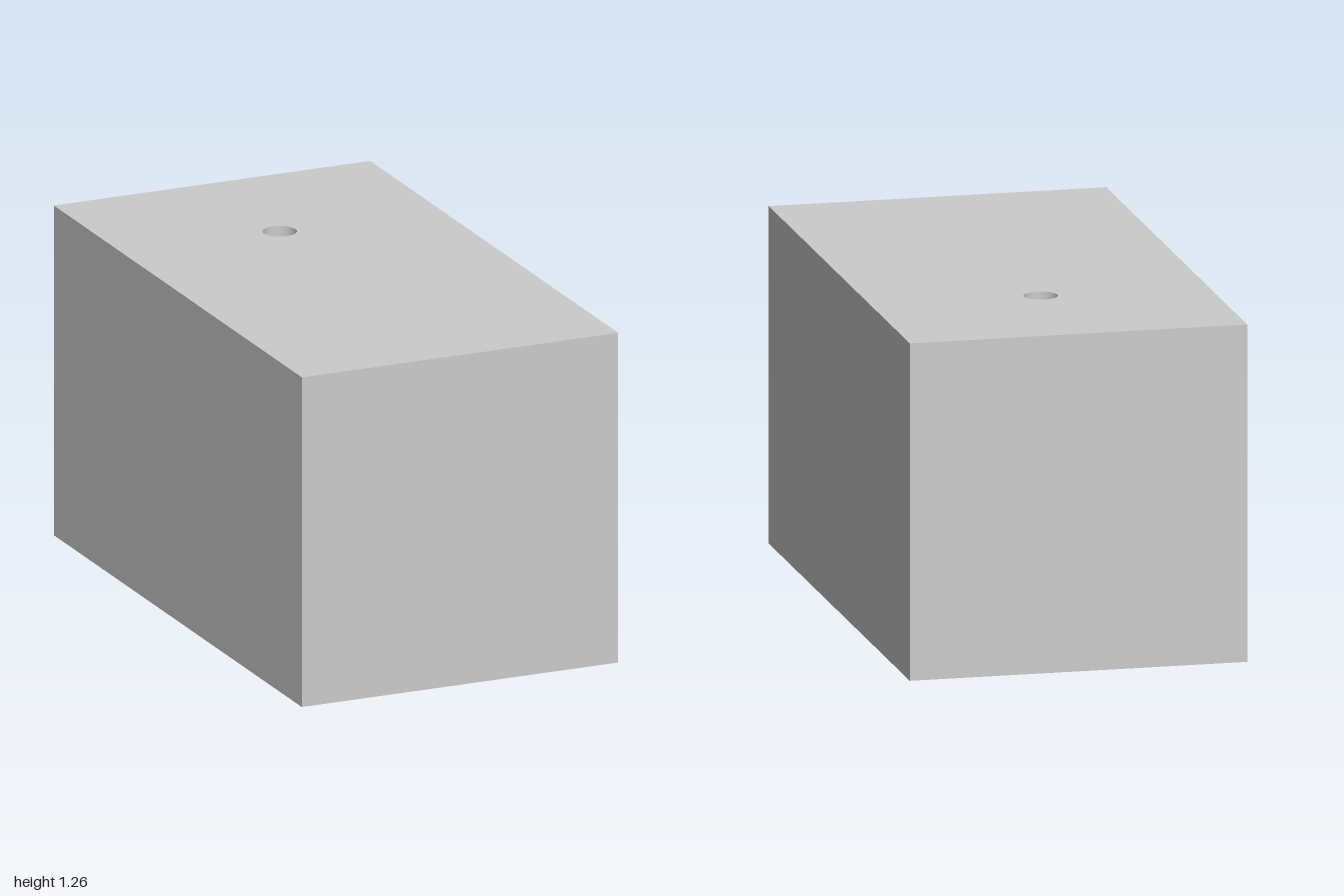
import * as THREE from 'three';

const mat = new THREE.MeshStandardMaterial({ color: 0xcccccc, flatShading: true });
const CX = -0.005;     // drivers sit slightly off the centre line
const FACE = 0.115;    // height of the baffle, which faces down
const TOP = 1.265;

function rect(w, d, x = 0, z = 0) {
  const s = new THREE.Shape();
  s.moveTo(x - w / 2, -z - d / 2);
  s.lineTo(x + w / 2, -z - d / 2);
  s.lineTo(x + w / 2, -z + d / 2);
  s.lineTo(x - w / 2, -z + d / 2);
  s.closePath();
  return s;
}

function disc(r, x, z) {
  return new THREE.Shape().absarc(x, -z, r, 0, Math.PI * 2, false);
}

// Upright slab between two heights, cut by round holes [radius, x, z]
function slab(name, shape, y0, y1, holes = []) {
  for (const [r, x, z] of holes) {
    shape.holes.push(new THREE.Path().absarc(x, -z, r, 0, Math.PI * 2, true));
  }
  const g = new THREE.ExtrudeGeometry(shape, { depth: y1 - y0, bevelEnabled: false, curveSegments: 32 });
  g.rotateX(-Math.PI / 2);
  g.translate(0, y0, 0);
  const m = new THREE.Mesh(g, mat);
  m.name = name;
  return m;
}

// Lower cap of a sphere, kept below the given height
function dome(name, r, z, yCentre, yCut) {
  const start = Math.acos((yCut - yCentre) / r);
  const g = new THREE.SphereGeometry(r, 32, 12, 0, Math.PI * 2, start, Math.PI - start);
  const m = new THREE.Mesh(g, mat);
  m.position.set(CX, yCentre, z);
  m.name = name;
  return m;
}

export function createModel() {
  const model = new THREE.Group();
  model.name = 'loudspeaker';

  // Cabinet: drilled baffle, solid body and drilled back panel
  const cabinet = new THREE.Group();
  cabinet.name = 'cabinet';
  const screws = [];
  for (const x of [-0.513, 0.513]) for (const z of [-0.93, 0.93]) screws.push([0.047, x, z]);
  const W = 1.15, D = 2;
  cabinet.add(
    slab('baffle', rect(W, D), FACE, FACE + 0.1, screws),
    slab('body', rect(W, D), FACE + 0.1, TOP - 0.12),
    slab('backPanel', rect(W, D), TOP - 0.12, TOP, [[0.057, CX, -0.443]])
  );
  model.add(cabinet);

  // Woofer: rim, shallow surround rings and dust cap
  const woofer = new THREE.Group();
  woofer.name = 'woofer';
  const wz = -0.45;
  woofer.add(
    slab('wooferRim', disc(0.395, CX, wz), 0.08, FACE, [[0.32, CX, wz]]),
    slab('wooferSurround', disc(0.245, CX, wz), 0.108, FACE, [[0.185, CX, wz]]),
    dome('dustCap', 0.15, wz + 0.01, 0.2, FACE)
  );
  model.add(woofer);

  // Tweeter: thin rim and half-round dome
  const tweeter = new THREE.Group();
  tweeter.name = 'tweeter';
  const tz = 0.203;
  tweeter.add(
    slab('tweeterRim', disc(0.228, CX, tz), 0.1, FACE, [[0.208, CX, tz]]),
    dome('tweeterDome', 0.107, tz, 0.107, FACE)
  );
  model.add(tweeter);

  // Plate with a round recess and a small centre post
  const plate = new THREE.Group();
  plate.name = 'controlPlate';
  const pz = 0.652;
  plate.add(
    slab('plate', rect(0.46, 0.315, CX, pz), 0.08, FACE, [[0.118, CX, pz]]),
    slab('post', disc(0.036, CX, pz), 0.1, FACE)
  );
  model.add(plate);

  return model;
}
